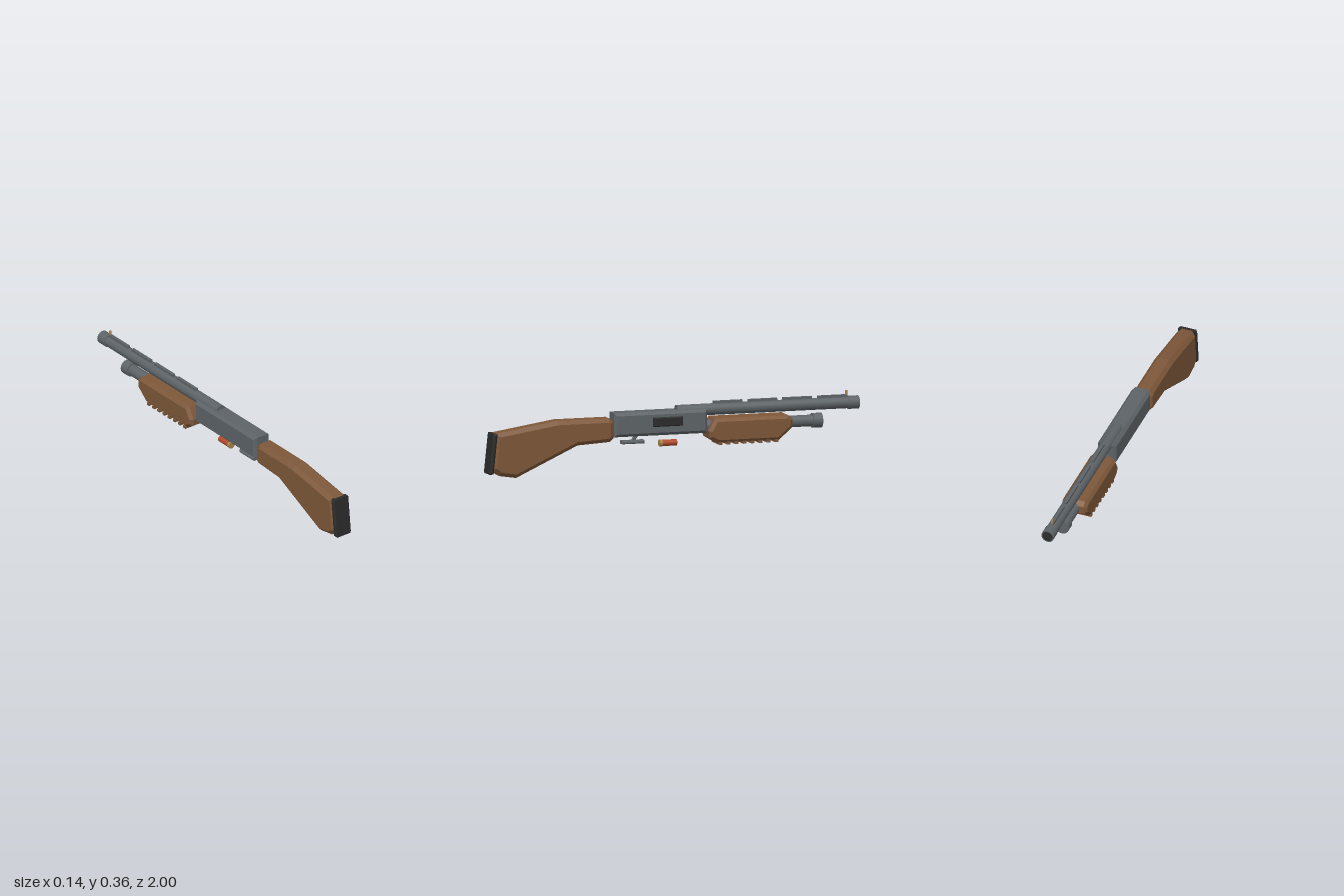
import * as THREE from 'three';

const mat = (name, color) => Object.assign(new THREE.MeshStandardMaterial({ color }), { name });

export function createModel() {
  const model = new THREE.Group();
  model.name = 'pumpActionLongGun';
  const wood = mat('wood', 0x7d5739);
  const metal = mat('gunmetal', 0x5d6367);
  const rubber = mat('black', 0x2b2b2b);
  const brass = mat('brass', 0xa8844c);
  const red = mat('shellRed', 0xb24a2a);

  const add = (name, geometry, material, x = 0, y = 0, z = 0) => {
    const mesh = new THREE.Mesh(geometry, material);
    mesh.name = name;
    mesh.position.set(x, y, z);
    model.add(mesh);
    return mesh;
  };

  // Side profile of [z, y] points, extruded across x with chamfered edges
  const slab = (name, points, width, bevel, material, x = 0) => {
    const shape = new THREE.Shape(points.map(([z, y]) => new THREE.Vector2(z, y)));
    const depth = width - 2 * bevel;
    const geometry = new THREE.ExtrudeGeometry(shape, {
      depth, bevelEnabled: true, bevelThickness: bevel, bevelSize: bevel,
      bevelOffset: -bevel, bevelSegments: 1,
    });
    geometry.translate(0, 0, -depth / 2).rotateY(-Math.PI / 2);
    return add(name, geometry, material, x);
  };
  const rect = (z0, z1, y0, y1) => [[z0, y0], [z1, y0], [z1, y1], [z0, y1]];

  // Round bar along z
  const rod = (name, radius, z0, z1, y, material) =>
    add(name, new THREE.CylinderGeometry(radius, radius, z1 - z0, 24).rotateX(Math.PI / 2),
      material, 0, y, (z0 + z1) / 2);

  // Stock and butt pad
  slab('stock', [
    [0.325, 0.185], [0.345, 0.165], [0.52, 0.155], [0.85, 0.003], [0.94, 0.017],
    [0.98, 0.05], [0.96, 0.236], [0.63, 0.287], [0.35, 0.287], [0.328, 0.268],
  ], 0.1, 0.02, wood);
  slab('buttPad', [[0.975, 0.028], [0.999, 0.028], [0.977, 0.236], [0.953, 0.236]], 0.102, 0.008, rubber);

  // Receiver with ejection port on the left side
  slab('receiver', rect(-0.176, 0.326, 0.188, 0.312), 0.1, 0.015, metal);
  slab('ejectionPort', rect(-0.042, 0.12, 0.234, 0.283), 0.012, 0.005, rubber, 0.05);

  // Barrel, muzzle ring and bore
  rod('barrel', 0.03, -0.99, -0.02, 0.304, metal);
  rod('muzzleRing', 0.034, -0.999, -0.942, 0.304, metal);
  rod('bore', 0.028, -1.0, -0.99, 0.304, rubber);

  // Sighting rib and bead
  for (let i = 0; i < 4; i++) {
    add('ribSegment', new THREE.BoxGeometry(0.016, 0.014, 0.156), metal, 0, 0.339, -0.298 - i * 0.187);
  }
  add('frontBead', new THREE.CylinderGeometry(0.006, 0.006, 0.026, 12), brass, 0, 0.354, -0.935);

  // Magazine tube and cap
  rod('magazineTube', 0.03, -0.78, -0.16, 0.22, metal);
  rod('magazineCap', 0.038, -0.8, -0.75, 0.22, metal);

  // Pump grip with ridges underneath
  slab('pumpGrip', [
    [-0.63, 0.2], [-0.555, 0.136], [-0.225, 0.136], [-0.182, 0.162],
    [-0.178, 0.2], [-0.212, 0.262], [-0.605, 0.262], [-0.63, 0.243],
  ], 0.137, 0.016, wood);
  for (let i = 0; i < 8; i++) {
    add('gripRidge', new THREE.BoxGeometry(0.128, 0.014, 0.018), wood, 0, 0.134, -0.24 - i * 0.043);
  }

  // Trigger and guard plate
  slab('triggerGuard', rect(0.155, 0.275, 0.147, 0.164), 0.04, 0.004, metal);
  slab('trigger', [[0.205, 0.158], [0.225, 0.158], [0.2, 0.195], [0.18, 0.195]], 0.016, 0.002, metal);

  // Loose shell below the receiver
  rod('shellBody', 0.0165, -0.022, 0.058, 0.142, red);
  rod('shellBase', 0.018, 0.055, 0.071, 0.142, brass);

  return model;
}
